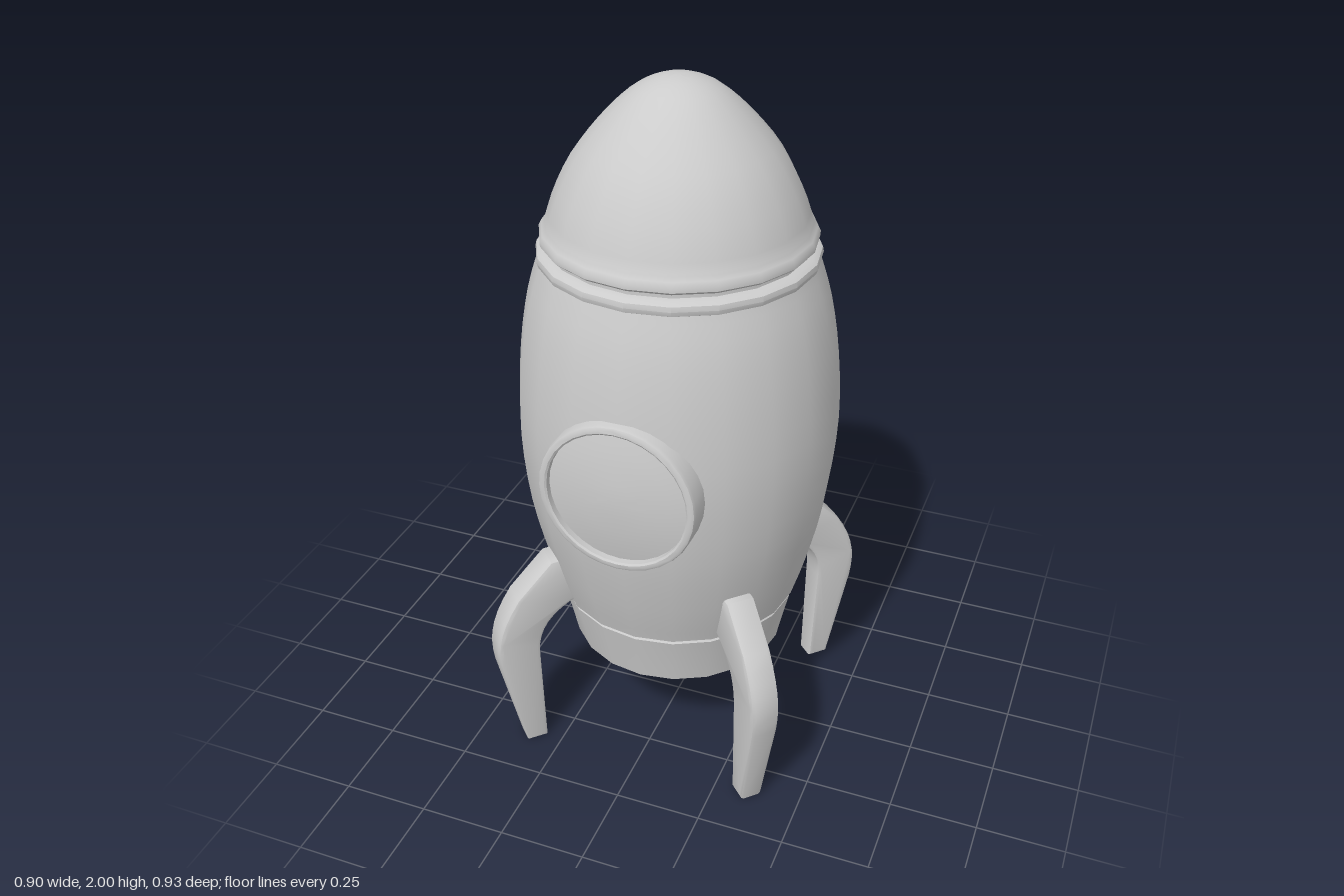
import * as THREE from 'three';
import { toCreasedNormals } from 'three/addons/utils/BufferGeometryUtils.js';

const material = new THREE.MeshStandardMaterial({ color: 0xcccccc });
const SIDES = 20;

function mesh(name, geometry) {
  const m = new THREE.Mesh(geometry, material);
  m.name = name;
  return m;
}

// Revolve [radius, height] pairs, listed from bottom to top
function turned(profile, sides = SIDES, crease = 0.6) {
  const pts = profile.map(([r, y]) => new THREE.Vector2(r, y));
  return toCreasedNormals(new THREE.LatheGeometry(pts, sides), crease);
}

// Smooth curve through a few profile points
function smooth(points, n) {
  return new THREE.SplineCurve(points.map(([r, y]) => new THREE.Vector2(r, y)))
    .getPoints(n).map((p) => [Math.max(p.x, 0), p.y]);
}

// Porthole facing +z: raised frame and slightly domed glass
function makePorthole(name) {
  const group = new THREE.Group();
  group.name = name;
  const frame = turned([
    [0.22, 0.34], [0.22, 0.45], [0.217, 0.459], [0.21, 0.463],
    [0.201, 0.463], [0.196, 0.459], [0.195, 0.42],
  ], 32).rotateX(Math.PI / 2);
  const glass = turned([
    [0.196, 0.441], [0.15, 0.451], [0.1, 0.458], [0.05, 0.463], [0, 0.465],
  ], 32).rotateX(Math.PI / 2);
  group.add(mesh('portholeFrame', frame), mesh('portholeGlass', glass));
  group.position.y = 1.01;
  return group;
}

// Curved leg, drawn as a radial outline and thinned towards the foot
function legGeometry() {
  const bevel = 0.012, half = 0.043;
  const s = new THREE.Shape();
  s.moveTo(0.452, 0);
  s.lineTo(0.515, 0);
  s.lineTo(0.582, 0.3);
  s.bezierCurveTo(0.594, 0.38, 0.588, 0.44, 0.52, 0.54);
  s.lineTo(0.415, 0.645);
  s.lineTo(0.33, 0.648);
  s.lineTo(0.33, 0.5);
  s.lineTo(0.36, 0.49);
  s.bezierCurveTo(0.43, 0.455, 0.462, 0.41, 0.461, 0.33);
  s.closePath();
  const g = new THREE.ExtrudeGeometry(s, {
    depth: 2 * (half - bevel), bevelEnabled: true, bevelThickness: bevel,
    bevelSize: bevel, bevelOffset: -bevel, bevelSegments: 2, curveSegments: 7,
  });
  g.translate(0, 0, bevel - half);
  const p = g.attributes.position;
  for (let i = 0; i < p.count; i++) {
    const t = Math.min(Math.max(p.getY(i) / 0.4, 0), 1);
    p.setZ(i, p.getZ(i) * (0.78 + 0.22 * t));
  }
  return toCreasedNormals(g, 0.6);
}

export function createModel() {
  const rocket = new THREE.Group();
  rocket.name = 'rocket';

  // Hollow exhaust skirt with a thick rim
  rocket.add(mesh('exhaustSkirt', turned([
    [0, 0.44], [0.3, 0.44], [0.278, 0.312], [0.284, 0.302], [0.292, 0.3],
    [0.305, 0.3], [0.312, 0.306], [0.33, 0.39], [0.347, 0.465], [0.342, 0.472],
  ])));

  // Barrel-shaped hull
  rocket.add(mesh('hull', turned([
    [0.342, 0.472], [0.352, 0.478],
    ...smooth([[0.354, 0.485], [0.39, 0.61], [0.431, 0.8], [0.45, 1.02],
      [0.438, 1.23], [0.41, 1.4], [0.374, 1.52]], 18),
  ])));

  // Collar below the nose
  rocket.add(mesh('collar', turned([
    [0.366, 1.508], [0.378, 1.515], [0.382, 1.528], [0.379, 1.541],
    [0.368, 1.549], [0.352, 1.552], [0.352, 1.572],
  ])));

  // Nose cone with a rolled lip
  rocket.add(mesh('noseCone', turned([
    [0.34, 1.564], [0.362, 1.566], [0.371, 1.574], [0.371, 1.586],
    [0.364, 1.6], [0.354, 1.61],
    ...smooth([[0.352, 1.616], [0.323, 1.7], [0.27, 1.8], [0.19, 1.896],
      [0.115, 1.963], [0.05, 1.993], [0, 2]], 16),
  ])));

  // Portholes front and back
  const back = makePorthole('backPorthole');
  back.rotation.y = Math.PI;
  rocket.add(makePorthole('frontPorthole'), back);

  // Four legs on the diagonals
  const leg = legGeometry();
  ['backLeftLeg', 'backRightLeg', 'frontRightLeg', 'frontLeftLeg'].forEach((name, i) => {
    const m = mesh(name, leg);
    m.rotation.y = Math.PI / 4 + i * Math.PI / 2;
    rocket.add(m);
  });

  return rocket;
}
